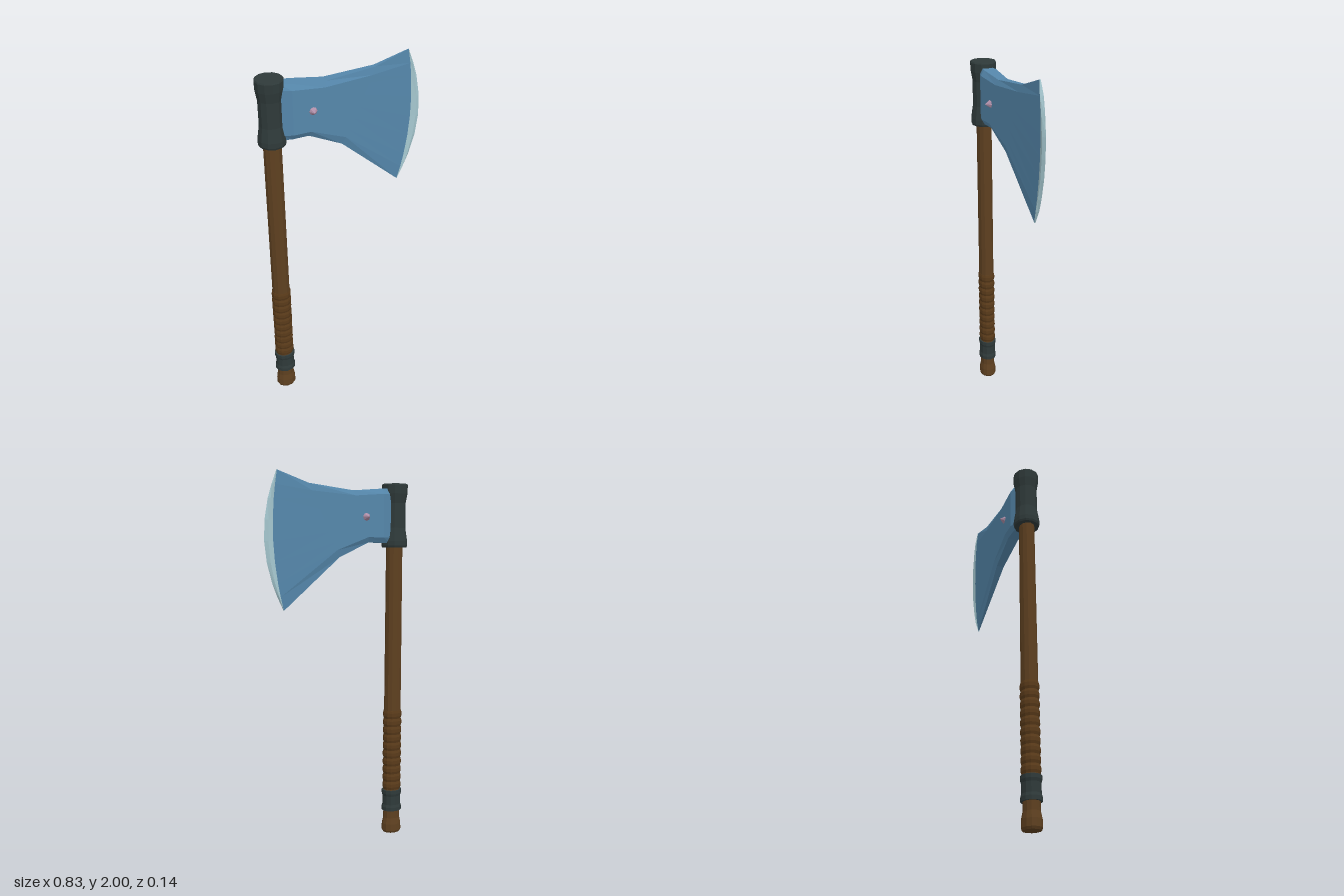
import * as THREE from 'three';

const mat = (name, color) => {
  const m = new THREE.MeshStandardMaterial({ color });
  m.name = name;
  return m;
};

// Facet a geometry so every polygon keeps its own flat normal
const facet = (geo) => {
  const g = geo.index ? geo.toNonIndexed() : geo;
  g.computeVertexNormals();
  return g;
};

export function createModel() {
  const model = new THREE.Group();
  model.name = 'axe';
  const wood = mat('wood', 0x5e4020);
  const wrap = mat('gripLeather', 0x5a3b1a);
  const iron = mat('darkIron', 0x2f3a3a);
  const steel = mat('blueSteel', 0x5587ab);
  const honed = mat('honedEdge', 0xa6c8d0);
  const rivetPink = mat('rivetPink', 0xb08fa8);
  const axisX = -0.345;

  const add = (name, geo, material) => {
    const mesh = new THREE.Mesh(facet(geo), material);
    mesh.name = name;
    model.add(mesh);
    return mesh;
  };

  // Twelve-sided turned part around the handle axis, capped at both ends
  const turned = (name, profile, material, depth = 0.86) => {
    const pts = [[0, profile[0][1]], ...profile, [0, profile[profile.length - 1][1]]];
    const geo = new THREE.LatheGeometry(pts.map(([r, y]) => new THREE.Vector2(r, y)), 12);
    geo.scale(1, 1, depth).translate(axisX, 0, 0);
    return add(name, geo, material);
  };

  // Handle, from pommel to head
  turned('pommel', [[0.05, 0], [0.056, 0.012], [0.055, 0.05], [0.047, 0.085], [0.047, 0.14]], wood);
  turned('collar', [[0.058, 0.13], [0.058, 0.15], [0.053, 0.165], [0.053, 0.215], [0.058, 0.23], [0.058, 0.25]], iron);
  turned('handle', [[0.049, 0.25], [0.048, 0.7], [0.046, 1.64]], wood);

  // Ribbed grip
  const ribs = 10, y0 = 0.255, pitch = (0.712 - y0) / ribs;
  const ribProfile = [];
  for (let i = 0; i < ribs; i++) {
    const y = y0 + i * pitch;
    ribProfile.push([0.049, y], [0.0535, y + pitch * 0.3], [0.0535, y + pitch * 0.7]);
  }
  ribProfile.push([0.05, y0 + ribs * pitch]);
  turned('grip', ribProfile, wrap);

  // Head socket
  turned('socket', [[0.066, 1.615], [0.07, 1.625], [0.07, 1.65], [0.059, 1.72], [0.059, 1.85], [0.068, 1.9], [0.07, 1.945], [0.066, 1.952]], iron, 0.98);

  // Half thickness of the blade cheek at x
  const cheek = (x) => (x < -0.25
    ? THREE.MathUtils.mapLinear(x, -0.3, -0.25, 0.036, 0.05)
    : Math.max(0.005, THREE.MathUtils.mapLinear(x, -0.25, 0.35, 0.05, 0.005)));

  // Loft through stations: top and bottom corner, forward bulge, optional fixed thickness
  const rows = [0, 0.1, 0.2, 0.35, 0.5, 0.65, 0.8, 0.9, 1];
  const ring = ({ top, bottom, bulge = 0, thick }) => {
    const front = rows.map((v) => {
      const rim = v === 0 || v === 1;
      const x = THREE.MathUtils.lerp(top[0], bottom[0], v) + bulge * (1 - (2 * v - 1) ** 2);
      const y = THREE.MathUtils.lerp(top[1], bottom[1], v);
      const z = thick === undefined ? cheek(x) * (rim ? 0.66 : 1) : thick * (rim ? 0.35 : 1);
      return [x, y, z];
    });
    return [...front, ...front.map(([x, y, z]) => [x, y, -z]).reverse()];
  };
  const loft = (stations) => {
    const rings = stations.map(ring);
    const n = rings[0].length;
    const index = [];
    for (let i = 0; i < rings.length - 1; i++) {
      for (let j = 0; j < n; j++) {
        const k = (j + 1) % n;
        const a = i * n + j, b = i * n + k, c = b + n, d = a + n;
        index.push(a, b, c, a, c, d);
      }
    }
    const geo = new THREE.BufferGeometry();
    geo.setAttribute('position', new THREE.Float32BufferAttribute(rings.flat(2), 3));
    geo.setIndex(index);
    return geo;
  };

  // Blade body and honed cutting edge
  const tip = { top: [0.34, 2.0], bottom: [0.31, 1.295] };
  const edgeStart = { ...tip, bulge: 0.04, thick: 0.005 };
  add('blade', loft([
    { top: [-0.3, 1.925], bottom: [-0.3, 1.638] },
    { top: [-0.25, 1.924], bottom: [-0.25, 1.64] },
    { top: [-0.08, 1.91], bottom: [-0.17, 1.643] },
    { top: [0.17, 1.94], bottom: [0, 1.565] },
    edgeStart,
  ]), steel);
  add('cuttingEdge', loft([
    edgeStart,
    { ...tip, bulge: 0.068, thick: 0.01 },
    { ...tip, bulge: 0.087, thick: 0 },
  ]), honed);

  // Pointed rivet on each cheek
  for (const side of [1, -1]) {
    const geo = new THREE.ConeGeometry(0.024, 0.032, 8);
    geo.rotateX(side * Math.PI / 2).translate(-0.15, 1.775, side * 0.054);
    add(side > 0 ? 'frontRivet' : 'backRivet', geo, rivetPink);
  }

  return model;
}
